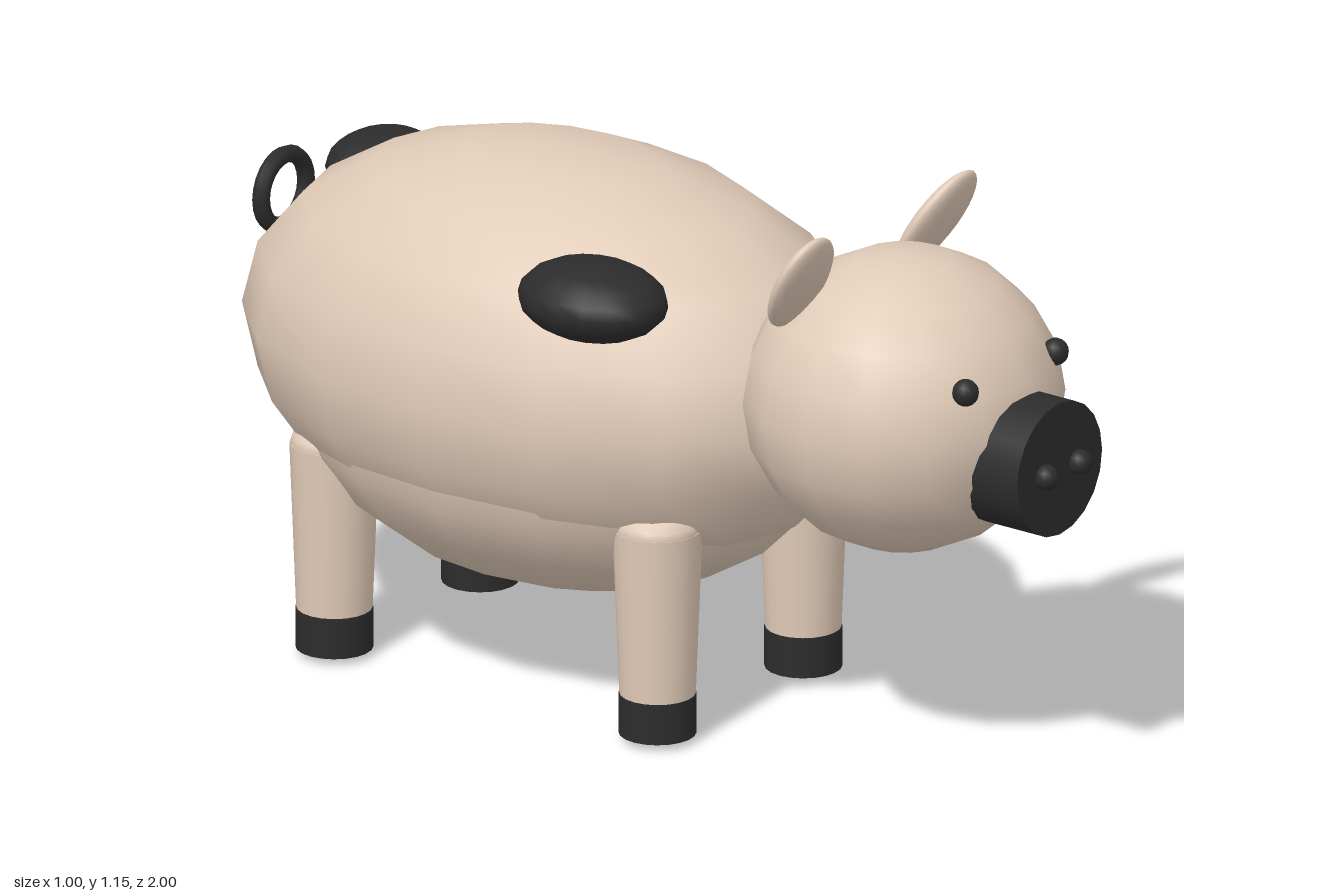
import * as THREE from 'three';

const CX = -0.022; // centre line of the animal

export function createModel() {
  const pig = new THREE.Group();
  pig.name = 'pig';
  const skin = new THREE.MeshStandardMaterial({ color: 0xe0cab7 });
  skin.name = 'skin';
  const dark = new THREE.MeshStandardMaterial({ color: 0x2c2c2c });
  dark.name = 'darkMarkings';

  function add(name, geometry, material, x, y, z) {
    const mesh = new THREE.Mesh(geometry, material);
    mesh.name = name;
    mesh.position.set(x, y, z);
    pig.add(mesh);
    return mesh;
  }

  function ellipsoid(name, material, [x, y, z], [rx, ry, rz], w = 16, h = 10) {
    const geometry = new THREE.SphereGeometry(1, w, h).scale(rx, ry, rz);
    return add(name, geometry, material, x, y, z);
  }

  // Trunk and head
  ellipsoid('body', skin, [CX, 0.67, -0.28], [0.478, 0.43, 0.72]);
  ellipsoid('belly', skin, [CX, 0.56, -0.28], [0.44, 0.37, 0.62]);
  ellipsoid('head', skin, [CX, 0.755, 0.575], [0.325, 0.31, 0.325]);

  // Snout
  const snout = new THREE.CylinderGeometry(0.14, 0.14, 0.165, 20).rotateX(Math.PI / 2);
  add('snout', snout, dark, CX, 0.69, 0.8825);

  for (const side of [-1, 1]) {
    const label = side > 0 ? 'left' : 'right';

    // Face details
    ellipsoid(label + 'Nostril', dark, [CX + side * 0.055, 0.69, 0.974], [0.026, 0.026, 0.026]);
    ellipsoid(label + 'Eye', dark, [CX + side * 0.148, 0.868, 0.842], [0.027, 0.028, 0.027]);

    // Ears lean forward and outward
    const ear = ellipsoid(label + 'Ear', skin, [CX + side * 0.222, 1.045, 0.485],
      [0.086, 0.128, 0.028], 20, 16);
    ear.rotation.set(0.5, 0, -side * 0.32);

    // Legs with rounded ends, and hooves
    for (const [end, z] of [['Front', 0.14], ['Back', -0.67]]) {
      const x = CX + side * 0.24;
      add(label + end + 'Leg', new THREE.CylinderGeometry(0.09, 0.075, 0.39, 20), skin, x, 0.255, z);
      ellipsoid(label + end + 'LegTop', skin, [x, 0.45, z], [0.089, 0.05, 0.089]);
      ellipsoid(label + end + 'FootPad', skin, [x, 0.075, z], [0.075, 0.075, 0.075]);
      add(label + end + 'Hoof', new THREE.CylinderGeometry(0.078, 0.078, 0.085, 20), dark, x, 0.0575, z);
    }
  }

  // Dark patches on the coat
  ellipsoid('rightShoulderPatch', dark, [-0.33, 0.932, 0.03], [0.13, 0.08, 0.163]);
  ellipsoid('leftFlankPatch', dark, [0.39, 0.852, -0.467], [0.11, 0.088, 0.176]);
  ellipsoid('rumpPatch', dark, [0.11, 0.9, -0.832], [0.13, 0.065, 0.106]);

  // Curled tail
  add('tail', new THREE.TorusGeometry(0.074, 0.018, 8, 24), dark, CX, 0.845, -0.98);

  return pig;
}
